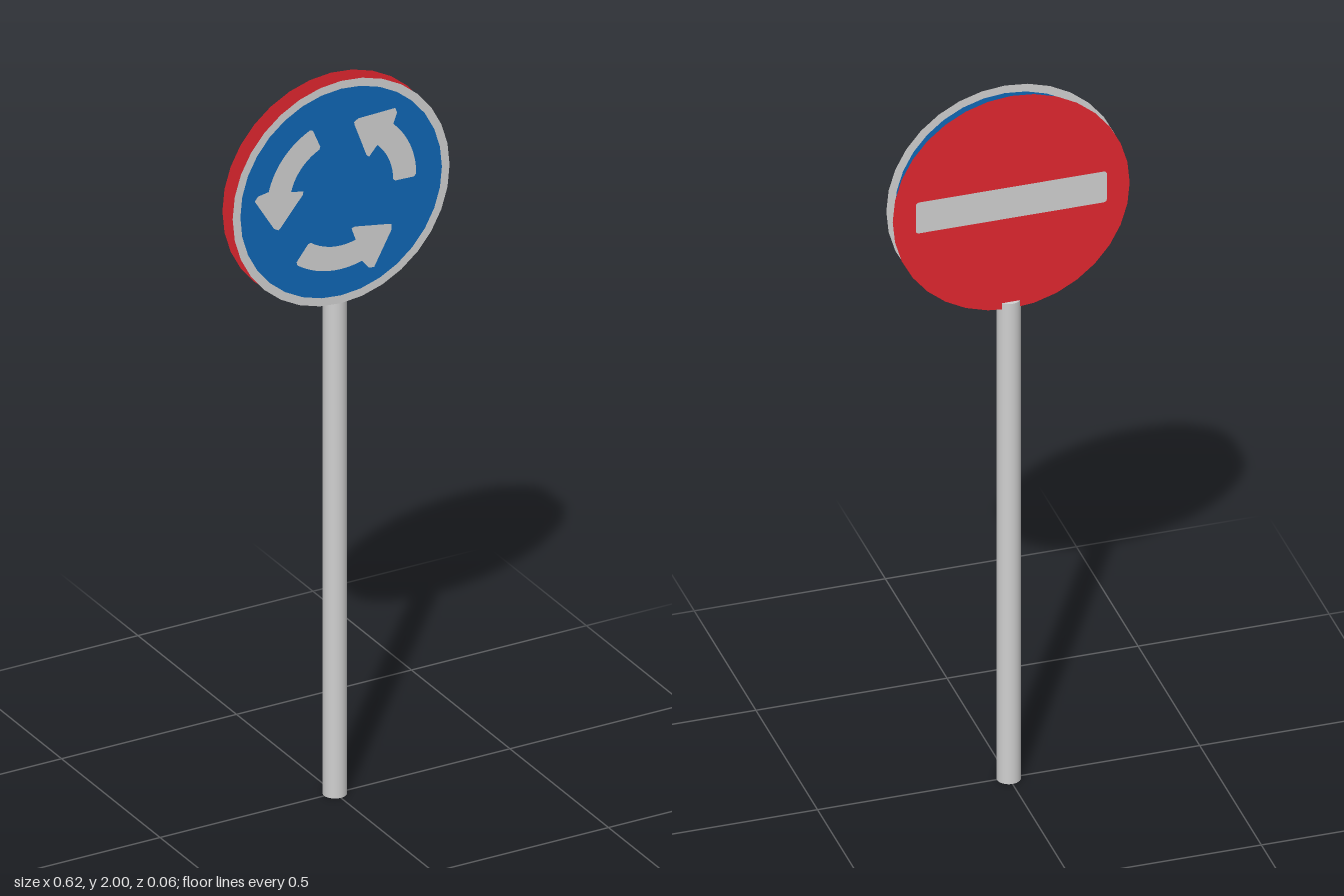
import * as THREE from 'three';

const material = (name, color, side = THREE.FrontSide) => {
  const m = new THREE.MeshStandardMaterial({ color, side });
  m.name = name;
  return m;
};

const DISC_Y = 1.69, DISC_R = 0.31, FACE_R = 0.288, POLE_R = 0.031;
const FRONT_Z = 0.031, BACK_Z = -0.021, LIFT = 0.0012;

// Curved arrow running counter-clockwise from the tail angle to its tip
function arrowShape(tailDeg, turnDeg) {
  const at = (r, deg) => {
    const a = THREE.MathUtils.degToRad(deg + turnDeg);
    return new THREE.Vector2(r * Math.cos(a), r * Math.sin(a));
  };
  const inner = 0.148, outer = 0.214, neck = 46, steps = 10;
  const points = [at(inner + 0.006, tailDeg), at(outer - 0.006, tailDeg)];
  for (let i = 0; i <= steps; i++) {
    points.push(at(outer, tailDeg + 2 + (neck - tailDeg - 2) * i / steps));
  }
  // Head: outer corner, tip, inner corner, with blunted ends
  points.push(at(0.243, 49), at(0.25, 52), at(0.2, 76), at(0.19, 79), at(0.182, 78), at(0.112, 50), at(0.112, 45));
  for (let i = steps; i >= 0; i--) {
    points.push(at(inner, tailDeg + 2 + (neck - 2 - tailDeg) * i / steps));
  }
  return new THREE.Shape(points);
}

// Bar with slightly rounded corners
function barShape(w, h, r) {
  const s = new THREE.Shape();
  const x = w / 2, y = h / 2;
  s.moveTo(-x + r, -y);
  s.lineTo(x - r, -y).quadraticCurveTo(x, -y, x, -y + r);
  s.lineTo(x, y - r).quadraticCurveTo(x, y, x - r, y);
  s.lineTo(-x + r, y).quadraticCurveTo(-x, y, -x, y - r);
  s.lineTo(-x, -y + r).quadraticCurveTo(-x, -y, -x + r, -y);
  return s;
}

export function createModel() {
  const model = new THREE.Group();
  model.name = 'roadSign';
  const grey = material('lightGrey', 0xd0d0d0, THREE.DoubleSide);
  const blue = material('signBlue', 0x0f67b5, THREE.DoubleSide);
  const red = material('signRed', 0xe0262f, THREE.DoubleSide);

  const add = (parent, name, geometry, mat, y = 0, z = 0) => {
    const mesh = new THREE.Mesh(geometry, mat);
    mesh.name = name;
    mesh.position.set(0, y, z);
    parent.add(mesh);
    return mesh;
  };

  // Post
  add(model, 'post', new THREE.CylinderGeometry(POLE_R, POLE_R, 1.4, 32), grey, 0.7, -0.001);

  // Front plate: blue face, grey rim, three circling arrows
  const front = new THREE.Group();
  front.name = 'frontPlate';
  front.position.set(0, DISC_Y, FRONT_Z);
  add(front, 'blueFace', new THREE.CircleGeometry(FACE_R, 32), blue);
  add(front, 'rim', new THREE.RingGeometry(FACE_R, DISC_R, 32), grey);
  [[-2, 0], [-7, 120], [-8, 240]].forEach(([tail, turn]) => {
    add(front, 'arrow', new THREE.ShapeGeometry(arrowShape(tail, turn)), grey, 0, LIFT);
  });
  model.add(front);

  // Back plate: red face with a horizontal bar, turned to face backwards
  const back = new THREE.Group();
  back.name = 'backPlate';
  back.position.set(0, DISC_Y, BACK_Z);
  back.rotation.y = Math.PI;
  add(back, 'redFace', new THREE.CircleGeometry(DISC_R, 32), red);
  add(back, 'bar', new THREE.ShapeGeometry(barShape(0.5, 0.09, 0.01)), grey, 0, LIFT);
  model.add(back);

  return model;
}
